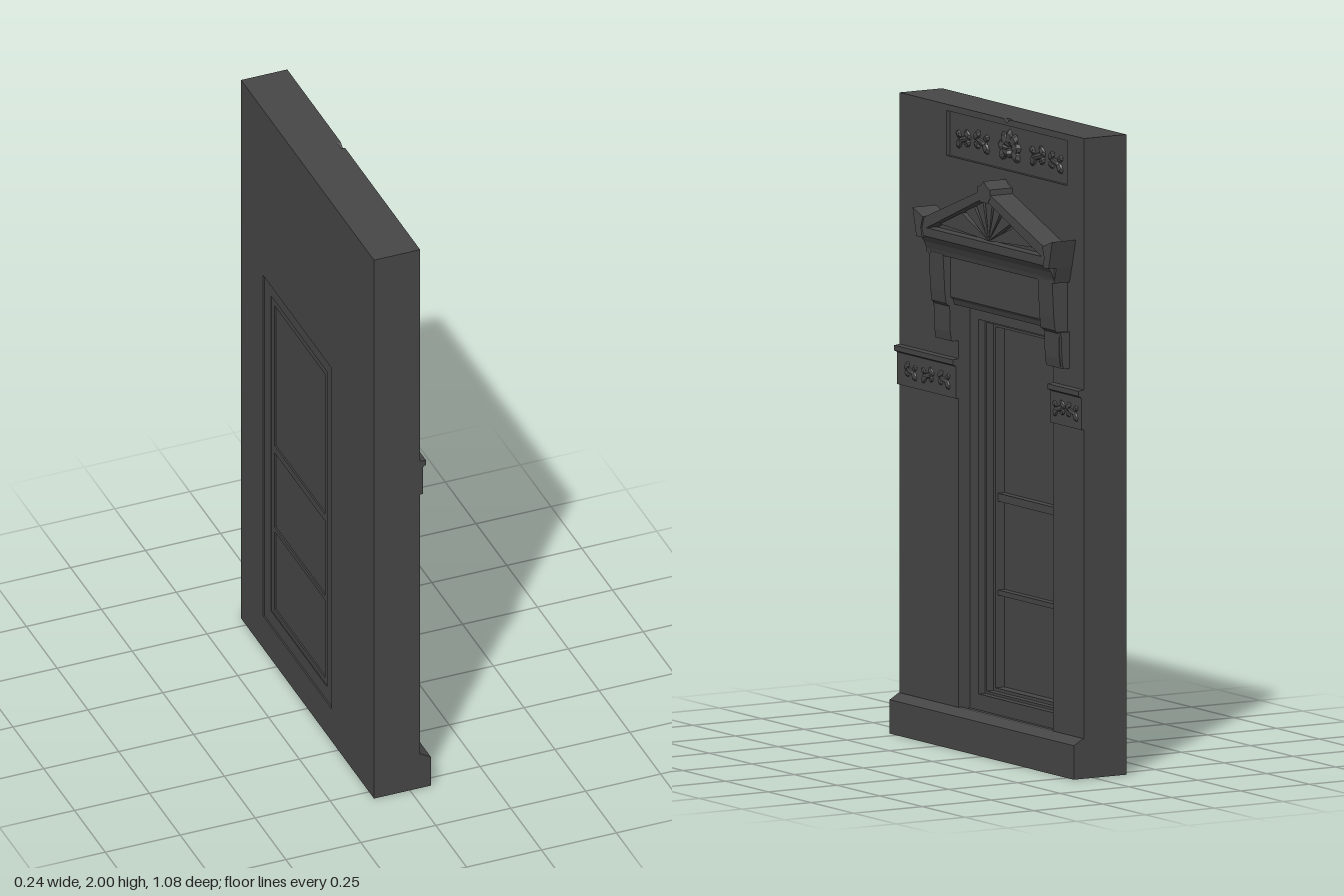
import * as THREE from 'three';

const material = new THREE.MeshStandardMaterial({ color: 0x464646, flatShading: true });
const C = 0.0825; // centre line of the opening, measured along s = -z

function part(name, geometry) {
  const m = new THREE.Mesh(geometry, material);
  m.name = name;
  return m;
}
const toShape = pts => new THREE.Shape(pts.map(p => new THREE.Vector2(p[0], p[1])));
const rect = (a, b, y0, y1) => [[a, y0], [b, y0], [b, y1], [a, y1]];

// Outline in (s, y), thickened along x from x0 to x1
function slab(name, pts, x0, x1, holes = []) {
  const shape = toShape(pts);
  shape.holes = holes.map(h => new THREE.Path(h.map(p => new THREE.Vector2(p[0], p[1]))));
  const g = new THREE.ExtrudeGeometry(shape, { depth: x1 - x0, bevelEnabled: false });
  return part(name, g.translate(0, 0, x0).rotateY(Math.PI / 2));
}

// Moulding profile in (x, y), run along s from s0 to s1
function moulding(name, pts, s0, s1) {
  const g = new THREE.ExtrudeGeometry(toShape(pts), { depth: s1 - s0, bevelEnabled: false });
  return part(name, g.translate(0, 0, -s1));
}

// Pointed carved leaf lying on a surface
function leaf(s, y, length, width, angle, x, depth) {
  const g = new THREE.SphereGeometry(1, 6, 4).scale(length / 2, width / 2, depth);
  g.rotateZ(angle).translate(s, y, x).rotateY(Math.PI / 2);
  return part('carvedLeaf', g);
}

// Sprig of leaves about a centre; dir mirrors it
function sprig(s, y, size, dir, x, depth) {
  const g = new THREE.Group();
  g.name = 'carvedSprig';
  const leaves = [[0, 0, 1, 0.3, 0.25], [0.35, 0.25, 0.6, 0.35, -0.7], [-0.35, -0.2, 0.6, 0.4, 0.9],
    [-0.4, 0.2, 0.45, 0.3, -0.5], [0.35, -0.15, 0.45, 0.3, 0.5]];
  for (const [u, v, l, w, a] of leaves) {
    g.add(leaf(s + dir * u * size, y + v * size, l * size, w * size, dir * a, x, depth));
  }
  return g;
}

function createWall() {
  const g = new THREE.Group();
  g.name = 'wall';
  const outline = rect(-0.54, 0.54, 0, 2);
  // small chip in the top edge of the face
  const faceOutline = [[-0.54, 0], [0.54, 0], [0.54, 2], [0.105, 2], [0.0875, 1.988], [0.07, 2], [-0.54, 2]];
  const opening = rect(C - 0.2775, C + 0.2775, 0.12, 1.385);
  const panel = rect(-0.265, 0.44, 1.84, 1.98);
  g.add(slab('wallCore', outline, -0.12, 0.022, [opening]));
  g.add(slab('wallFace', faceOutline, 0.022, 0.034, [opening, panel]));
  g.add(moulding('plinth', [[0.02, 0], [0.07, 0], [0.07, 0.106], [0.038, 0.125], [0.02, 0.125]], -0.54, 0.54));

  // carved panel: central shell between two sprigs on each side
  for (let i = 0; i < 7; i++) {
    const a = -0.5 + i * (Math.PI + 1) / 6;
    g.add(leaf(0.0875 + Math.cos(a) * 0.04, 1.905 + Math.sin(a) * 0.036, 0.056, 0.036, a, 0.022, 0.012));
  }
  g.add(leaf(0.0875, 1.893, 0.035, 0.03, 0, 0.022, 0.022));
  for (const d of [-1, 1]) {
    g.add(sprig(0.0875 + d * 0.165, 1.905, 0.075, d, 0.022, 0.01));
    g.add(sprig(0.0875 + d * 0.27, 1.9, 0.07, -d, 0.022, 0.01));
  }

  // belt course either side of the opening
  const belt = [[0.02, 1.09], [0.043, 1.09], [0.043, 1.19], [0.054, 1.196], [0.054, 1.212], [0.02, 1.216]];
  g.add(moulding('beltCourse', belt, -0.54, C - 0.2775));
  g.add(moulding('beltCourse', belt, C + 0.2775, 0.54));
  [-0.46, -0.36, -0.265, 0.41, 0.485].forEach((s, i) => {
    g.add(sprig(s, 1.14, 0.06, i % 2 ? 1 : -1, 0.043, 0.007));
  });
  return g;
}

function createWindow() {
  const g = new THREE.Group();
  g.name = 'window';
  const ring = (name, ho, hi, o, i, x0, x1) =>
    slab(name, rect(C - ho, C + ho, o[0], o[1]), x0, x1, [rect(C - hi, C + hi, i[0], i[1])]);
  // stepped casing and sash
  g.add(ring('outerCasing', 0.2775, 0.228, [0.12, 1.385], [0.17, 1.34], -0.115, -0.008));
  g.add(ring('innerCasing', 0.228, 0.219, [0.17, 1.34], [0.178, 1.33], -0.112, -0.032));
  g.add(ring('sash', 0.219, 0.207, [0.178, 1.33], [0.188, 1.316], -0.112, -0.056));
  // three panes with rails between
  for (const [y0, y1] of [[0.188, 0.477], [0.493, 0.77], [0.795, 1.316]]) {
    g.add(slab('pane', rect(C - 0.207, C + 0.207, y0, y1), -0.107, -0.09));
  }
  for (const [y0, y1] of [[0.477, 0.493], [0.77, 0.795]]) {
    g.add(slab('rail', rect(C - 0.207, C + 0.207, y0, y1), -0.112, -0.065));
  }
  return g;
}

function createPediment() {
  const g = new THREE.Group();
  g.name = 'pediment';
  const h = 0.373;
  g.add(moulding('frieze', [[0.02, 1.385], [0.048, 1.385], [0.053, 1.4], [0.063, 1.41], [0.063, 1.545], [0.02, 1.545]],
    -0.2775, 0.2775));
  // cove cornice
  g.add(moulding('cornice', [[0.02, 1.54], [0.088, 1.54], [0.092, 1.555], [0.1, 1.575], [0.114, 1.595],
    [0.114, 1.622], [0.02, 1.622]], -h, h));

  // raking cornice around a recessed gable
  g.add(slab('rakingCornice',
    [[-h, 1.61], [h, 1.61], [h, 1.645], [0, 1.787], [-h, 1.645]], 0.02, 0.114,
    [[[-0.335, 1.622], [0.335, 1.622], [0, 1.759]]]));
  g.add(slab('gable', [[-0.345, 1.615], [0.345, 1.615], [0, 1.765]], 0.02, 0.078));
  // sunburst wedges
  const reach = a => 0.13 / (Math.sin(a) + 0.4 * Math.abs(Math.cos(a)));
  for (let i = 0; i < 7; i++) {
    const mid = Math.PI * (i + 0.5) / 7;
    const tip = [mid - 0.17, mid + 0.17].map(a => [Math.cos(a) * reach(a), 1.624 + Math.sin(a) * reach(a)]);
    g.add(slab('sunRay', [[0, 1.624], ...tip], 0.07, 0.096));
  }

  // peak ornament
  g.add(slab('peakBlock', [[-0.022, 1.745], [0.022, 1.745], [0.04, 1.765], [0.038, 1.79], [0.017, 1.797],
    [0, 1.812], [-0.017, 1.797], [-0.038, 1.79], [-0.04, 1.765]], 0.02, 0.115));

  // end blocks and the brackets below them
  const bracket = [[0.02, 1.275], [0.06, 1.275], [0.064, 1.3], [0.066, 1.38], [0.079, 1.39], [0.084, 1.43],
    [0.09, 1.545], [0.02, 1.545]];
  for (const d of [-1, 1]) {
    const ear = [[0.388, 1.59], [0.353, 1.59], [0.362, 1.62], [0.35, 1.655], [0.41, 1.677]];
    g.add(slab('endBlock', ear.map(([s, y]) => [s * d, y]), 0.02, 0.119));
    const flare = [[0.373, 1.54], [0.35, 1.54], [0.35, 1.592], [0.388, 1.592]];
    g.add(slab('endBlockNeck', flare.map(([s, y]) => [s * d, y]), 0.02, 0.09));
    const a = d * 0.2775, b = d * 0.362;
    g.add(moulding('bracket', bracket, Math.min(a, b), Math.max(a, b)));
    // slightly wider foot of the bracket
    const f = d * 0.374;
    g.add(moulding('bracketFoot', [[0.02, 1.27], [0.057, 1.27], [0.062, 1.3], [0.064, 1.37], [0.068, 1.385], [0.02, 1.385]],
      Math.min(a, f), Math.max(a, f)));
  }
  g.position.z = -C;
  return g;
}

export function createModel() {
  const model = new THREE.Group();
  model.name = 'windowWall';
  model.add(createWall(), createWindow(), createPediment());
  return model;
}
